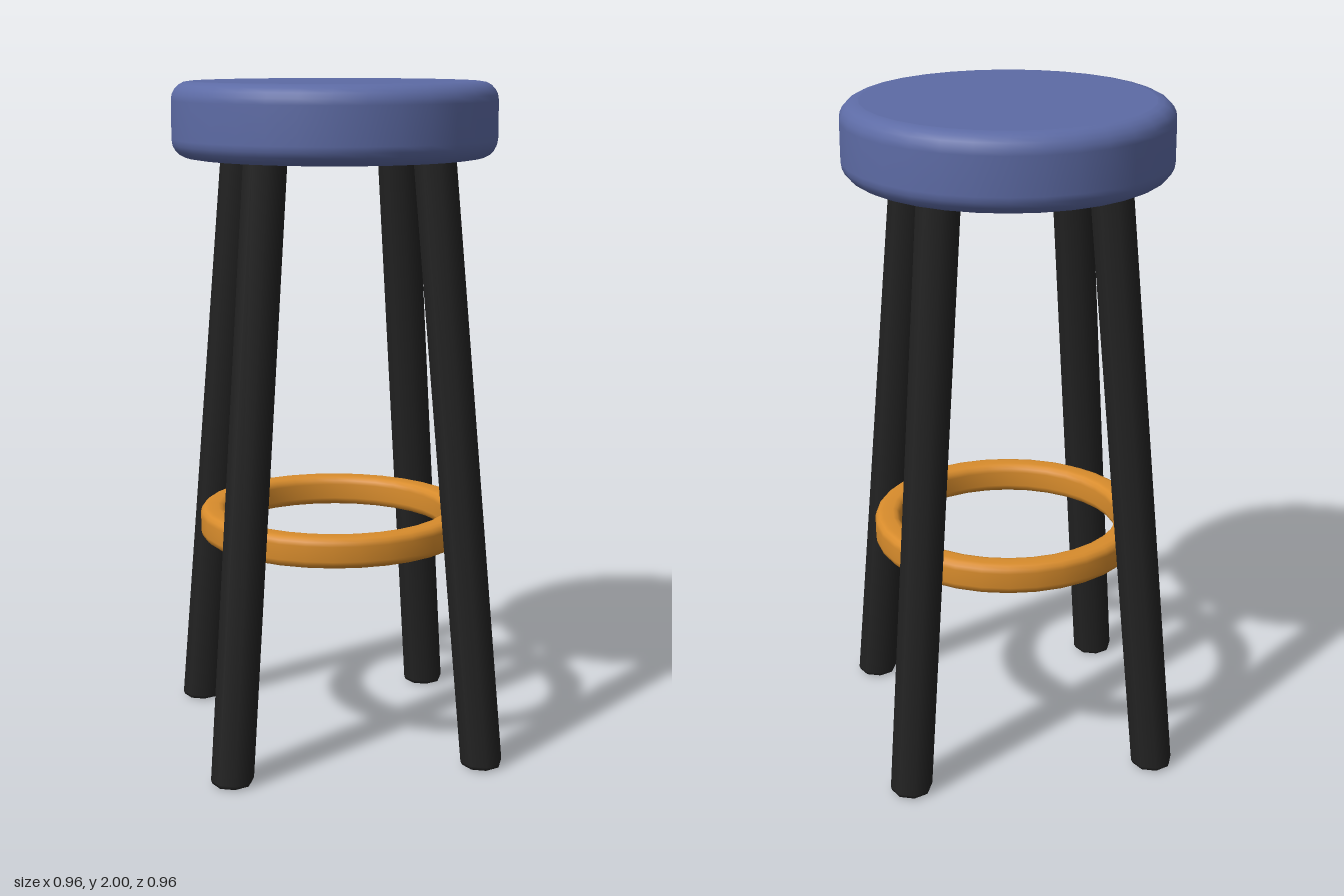
import * as THREE from 'three';

const material = (name, color) => {
  const m = new THREE.MeshStandardMaterial({ color });
  m.name = name;
  return m;
};

// Quarter-round corner from one angle to another, as profile points
function corner(cx, cy, r, start, end, steps) {
  return Array.from({ length: steps + 1 }, (_, i) => {
    const a = start + ((end - start) * i) / steps;
    return new THREE.Vector2(cx + r * Math.cos(a), cy + r * Math.sin(a));
  });
}

// Solid disc or post with rounded rims, turned around y
function roundedPost(radius, bottom, top, bevel, sides, steps) {
  const profile = [
    new THREE.Vector2(0, bottom),
    new THREE.Vector2(radius - bevel - 0.002, bottom),
    ...corner(radius - bevel, bottom + bevel, bevel, -Math.PI / 2, 0, steps),
    ...corner(radius - bevel, top - bevel, bevel, 0, Math.PI / 2, steps),
    new THREE.Vector2(radius - bevel - 0.002, top),
    new THREE.Vector2(0, top),
  ];
  return new THREE.LatheGeometry(profile, sides);
}

export function createModel() {
  const group = new THREE.Group();
  const blue = material('seat blue', 0x5d6ba5);
  const black = material('leg black', 0x222222);
  const orange = material('ring orange', 0xd88c2c);

  const add = (name, geometry, mat) => {
    const mesh = new THREE.Mesh(geometry, mat);
    mesh.name = name;
    group.add(mesh);
  };

  // Padded round seat
  add('seat', roundedPost(0.48, 1.78, 2, 0.055, 32, 5), blue);

  // Four splayed legs, sheared so that the feet stay level
  const foot = 0.374;
  const lean = -0.073;
  for (const [sx, sz, name] of [
    [1, 1, 'frontLeftLeg'], [-1, 1, 'frontRightLeg'],
    [1, -1, 'backLeftLeg'], [-1, -1, 'backRightLeg'],
  ]) {
    const leg = roundedPost(0.063, 0, 1.82, 0.015, 8, 2);
    leg.applyMatrix4(new THREE.Matrix4().makeShear(0, 0, sx * lean, sz * lean, 0, 0));
    leg.translate(sx * foot, 0, sz * foot);
    add(name, leg, black);
  }

  // Foot ring with a rounded rectangular section
  const inner = 0.332, outer = 0.41, low = 0.635, high = 0.728, r = 0.024;
  const q = Math.PI / 2;
  const section = [
    ...corner(outer - r, low + r, r, -q, 0, 3),
    ...corner(outer - r, high - r, r, 0, q, 3),
    ...corner(inner + r, high - r, r, q, 2 * q, 3),
    ...corner(inner + r, low + r, r, 2 * q, 3 * q, 3),
  ];
  section.push(section[0].clone());
  add('footRing', new THREE.LatheGeometry(section, 32), orange);

  return group;
}
